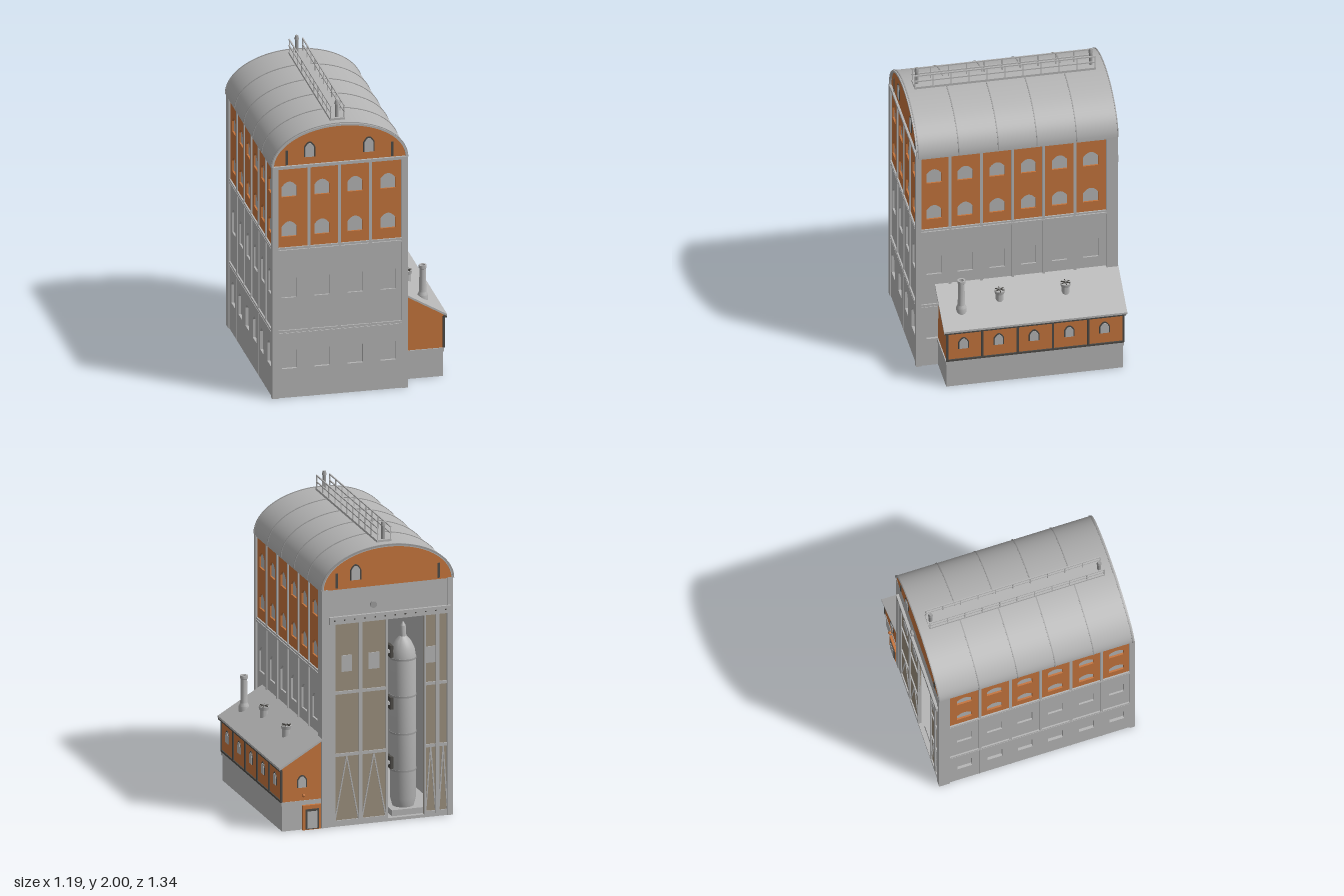
import * as THREE from 'three';
import { toCreasedNormals } from 'three/addons/utils/BufferGeometryUtils.js';

const mat = (name, color) => Object.assign(new THREE.MeshStandardMaterial({ color }), { name });

export function createModel() {
  const grey = mat('concrete grey', 0xb4b4b4);
  const orange = mat('brick orange', 0xc4743c);
  const dark = mat('dark trim', 0x4c4a46);
  const tan = mat('door tan', 0x9a8e7c);
  const steel = mat('steel grey', 0x9c9c9c);

  const model = new THREE.Group();
  const CX = -0.1475;
  const add = (parent, name, geo, m, x = 0, y = 0, z = 0) => {
    const mesh = new THREE.Mesh(geo, m);
    mesh.name = name;
    mesh.position.set(x, y, z);
    parent.add(mesh);
    return mesh;
  };
  // box given by its two corners
  const box = (p, name, m, x0, x1, y0, y1, z0, z1) =>
    add(p, name, new THREE.BoxGeometry(x1 - x0, y1 - y0, z1 - z0), m, (x0 + x1) / 2, (y0 + y1) / 2, (z0 + z1) / 2);
  const cyl = (p, name, m, r0, r1, h, x, y, z) =>
    add(p, name, toCreasedNormals(new THREE.CylinderGeometry(r0, r1, h, 20), 0.6), m, x, y + h / 2, z);
  // thin bar between two points
  const bar = (p, name, m, a, b, t) => {
    const va = new THREE.Vector3(...a), vb = new THREE.Vector3(...b), d = vb.clone().sub(va);
    const mesh = add(p, name, new THREE.BoxGeometry(t, d.length(), t), m);
    mesh.position.copy(va).add(vb).multiplyScalar(0.5);
    mesh.quaternion.setFromUnitVectors(new THREE.Vector3(0, 1, 0), d.normalize());
  };
  const extrude = (shape, depth) =>
    toCreasedNormals(new THREE.ExtrudeGeometry(shape, { depth, bevelEnabled: false, curveSegments: 32 }), 0.4);

  // arched window outline: sill at y, width w, height h, arch rise r
  const arch = (path, x, y, w, h, r) => {
    path.moveTo(x - w / 2, y);
    path.lineTo(x + w / 2, y);
    path.lineTo(x + w / 2, y + h - r);
    path.quadraticCurveTo(x + w / 4, y + h, x, y + h);
    path.quadraticCurveTo(x - w / 4, y + h, x - w / 2, y + h - r);
    return path;
  };
  const rect = (x0, x1, y0, y1) => new THREE.Shape([[x0, y0], [x1, y0], [x1, y1], [x0, y1]].map(p => new THREE.Vector2(...p)));
  // framed window plate facing local +z
  const framedWindow = (p, x, y, z, w, h) => {
    add(p, 'windowFrame', extrude(arch(new THREE.Shape(), x, y, w, h, w / 2), 0.004), dark, 0, 0, z);
    add(p, 'windowPane', extrude(arch(new THREE.Shape(), x, y, w - 0.016, h - 0.01, w / 2 - 0.008), 0.007), grey, 0, 0, z);
  };

  // hall shell
  const hall = new THREE.Group();
  hall.name = 'hall';
  model.add(hall);
  box(hall, 'frontWall', grey, -0.57, 0.275, 0, 1.6, 0.615, 0.645);
  box(hall, 'rightWall', grey, -0.57, -0.54, 0, 1.6, -0.64, 0.645);
  box(hall, 'leftWall', grey, 0.245, 0.275, 0, 1.6, -0.64, 0.645);
  box(hall, 'floor', grey, -0.57, 0.275, 0, 0.02, -0.65, 0.645);
  box(hall, 'ceiling', grey, -0.57, 0.275, 1.56, 1.6, -0.64, 0.645);

  // facades with recessed arched windows, in three storeys
  const facade = (name, x, z, turn, u0, u1, strips, windows) => {
    const g = new THREE.Group();
    g.name = name;
    g.position.set(x, 0, z);
    g.rotation.y = turn;
    hall.add(g);
    const storeys = [['baseStorey', grey, 0, 0.45, [0.2], 0.16], ['middleStorey', grey, 0.45, 1.03, [0.69], 0.17],
      ['upperStorey', orange, 1.03, 1.6, [1.115, 1.39], 0.105]];
    for (const [n, m, y0, y1, sills, h] of storeys) {
      const s = rect(u0, u1, y0, y1);
      for (const y of sills) for (const u of windows) s.holes.push(arch(new THREE.Path(), u, y, 0.1, h, 0.035));
      add(g, n, extrude(s, n === 'baseStorey' ? 0.018 : 0.012), m);
    }
    for (const u of strips) {
      box(g, 'pilaster', grey, u - 0.009, u + 0.009, 0.46, 1.59, 0, 0.02);
      box(g, 'baseSeam', grey, u - 0.003, u + 0.003, 0, 0.44, 0, 0.0195);
    }
    for (const [y0, y1] of [[0.435, 0.447], [0.453, 0.467], [1.013, 1.024], [1.03, 1.042], [1.585, 1.605]])
      box(g, 'stringCourse', grey, u0, u1, y0, y1, 0, 0.022);
  };
  const sideU = [0.447, 0.24, 0.034, -0.17, -0.375], sideW = [0.55, 0.345, 0.135, -0.07, -0.275, -0.48];
  const flip = a => a.map(v => -v);
  facade('frontFacade', 0, 0.645, 0, -0.57, 0.275, [-0.352, -0.15, 0.055], [-0.48, -0.264, -0.045, 0.172]);
  facade('leftFacade', 0.275, 0, Math.PI / 2, -0.645, 0.6, flip(sideU), flip(sideW));
  facade('rightFacade', -0.57, 0, -Math.PI / 2, -0.6, 0.645, sideU, sideW);

  // corner posts
  for (const [x0, x1] of [[-0.595, -0.555], [0.26, 0.3]]) {
    box(hall, 'frontCorner', grey, x0, x1, 0, 1.605, 0.635, 0.67);
    box(hall, 'backCorner', grey, x0, x1, 0, 1.605, -0.655, -0.58);
  }
  box(hall, 'backJamb', grey, 0.22, 0.27, 0, 1.6, -0.65, -0.62);

  // barrel roof with ribs
  const A = 0.45, B = 0.27, Y0 = 1.6;
  const vault = (a, b, t) => {
    const s = new THREE.Shape();
    s.absellipse(CX, Y0, a, b, 0, Math.PI, false);
    s.lineTo(CX - a + t, Y0);
    s.absellipse(CX, Y0, a - t, b - t, Math.PI, 0, true);
    return s;
  };
  add(hall, 'barrelRoof', extrude(vault(A, B, 0.014), 1.325), grey, 0, 0, -0.657);
  for (const z of [-0.655, -0.384, -0.124, 0.13, 0.39, 0.655])
    add(hall, 'roofRib', extrude(vault(A + 0.004, B + 0.004, 0.012), 0.007), steel, 0, 0, z - 0.0035);

  // gables
  const gableShape = new THREE.Shape();
  gableShape.absellipse(CX, Y0, A - 0.01, B - 0.01, 0, Math.PI, false);
  for (const [name, turn, wins] of [['frontGable', 0, [-0.345, 0.047]], ['backGable', Math.PI, [-0.07]]]) {
    const g = new THREE.Group();
    g.name = name;
    hall.add(g);
    // the back gable is turned about the hall's axis
    if (turn) { g.rotation.y = turn; g.position.x = 0; }
    const shift = turn ? -2 * CX : 0;
    add(g, 'gableWall', extrude(gableShape, 0.02), orange, shift, 0, 0.633);
    for (const x of wins) framedWindow(g, x, 1.655, 0.653, 0.075, 0.105);
    for (const d of [-0.348, 0.348]) box(g, 'slit', dark, CX + shift + d - 0.008, CX + shift + d + 0.008, 1.61, 1.71, 0.65, 0.658);
  }

  // roof walkway with railings and vent pipes
  const walk = new THREE.Group();
  walk.name = 'roofWalkway';
  model.add(walk);
  box(walk, 'deck', grey, -0.197, -0.098, 1.866, 1.884, -0.59, 0.6);
  for (const x of [-0.192, -0.103]) {
    for (const y of [1.925, 1.967]) box(walk, 'rail', grey, x - 0.004, x + 0.004, y - 0.004, y + 0.004, -0.59, 0.6);
    for (let i = 0; i <= 10; i++) {
      const z = -0.585 + i * 0.118;
      box(walk, 'railPost', grey, x - 0.003, x + 0.003, 1.88, 1.97, z - 0.003, z + 0.003);
    }
  }
  for (const z of [-0.567, 0.575]) {
    cyl(walk, 'ventPipe', steel, 0.012, 0.012, 0.11, CX, 1.875, z);
    cyl(walk, 'ventCap', steel, 0.01, 0.016, 0.025, CX, 1.975, z);
  }

  // back gate: lintel, track and door leaves
  const gate = new THREE.Group();
  gate.name = 'backGate';
  model.add(gate);
  box(gate, 'lintel', grey, -0.56, 0.265, 1.37, 1.605, -0.652, -0.62);
  box(gate, 'doorTrack', grey, -0.575, 0.25, 1.37, 1.42, -0.67, -0.64);
  for (let i = 0; i < 12; i++) box(gate, 'trackBolt', dark, -0.545 + i * 0.069, -0.535 + i * 0.069, 1.392, 1.4, -0.673, -0.668);
  const lamp = cyl(gate, 'gateLamp', steel, 0.022, 0.022, 0.016, -0.05, 1.47, -0.66);
  lamp.rotation.x = Math.PI / 2;
  for (const [x0, x1] of [[0.035, 0.22], [-0.15, 0.035], [-0.49, -0.4], [-0.57, -0.49]]) {
    const g = new THREE.Group();
    g.name = 'doorLeaf';
    gate.add(g);
    box(g, 'panel', tan, x0, x1, 0.02, 1.37, -0.642, -0.632);
    for (const x of [x0 + 0.006, x1 - 0.006]) box(g, 'stile', grey, x - 0.006, x + 0.006, 0.02, 1.37, -0.652, -0.628);
    for (const y of [0.03, 0.48, 0.9]) box(g, 'crossRail', grey, x0, x1, y - 0.01, y + 0.01, -0.65, -0.63);
    bar(g, 'brace', grey, [x0 + 0.01, 0.03, -0.644], [(x0 + x1) / 2, 0.47, -0.644], 0.008);
    bar(g, 'brace', grey, [x1 - 0.01, 0.03, -0.644], [(x0 + x1) / 2, 0.47, -0.644], 0.008);
    if (x0 !== -0.57) box(g, 'doorWindow', grey, (x0 + x1) / 2 - 0.036, (x0 + x1) / 2 + 0.036, 1.04, 1.15, -0.648, -0.64);
  }

  // rocket on its stand, with service arms
  const rocket = new THREE.Group();
  rocket.name = 'rocket';
  rocket.position.set(-0.3, 0, -0.52);
  model.add(rocket);
  box(rocket, 'stand', grey, -0.11, 0.11, 0.02, 0.06, -0.1, 0.1);
  const profile = [[0, 0.06], [0.07, 0.06], [0.085, 0.12], [0.085, 1.06], [0.075, 1.12], [0.05, 1.17], [0.022, 1.2], [0.018, 1.27], [0, 1.3]];
  add(rocket, 'rocketBody', toCreasedNormals(new THREE.LatheGeometry(profile.map(p => new THREE.Vector2(...p)), 28), 0.5), grey);
  for (const y of [0.3, 0.55, 0.8, 1.05]) cyl(rocket, 'rocketBand', steel, 0.087, 0.087, 0.012, 0, y, 0);
  for (const y of [0.35, 0.75, 1.1]) {
    box(rocket, 'serviceArm', grey, 0.07, 0.5, y, y + 0.02, -0.03, 0.03);
    box(rocket, 'armClamp', dark, 0.08, 0.1, y - 0.03, y + 0.05, -0.04, 0.04);
  }

  // annex
  const annex = new THREE.Group();
  annex.name = 'annex';
  model.add(annex);
  box(annex, 'annexBase', grey, 0.285, 0.565, 0, 0.18, -0.635, 0.525);
  box(annex, 'annexLedge', grey, 0.285, 0.572, 0.172, 0.197, -0.64, 0.53);
  const section = pts => new THREE.Shape(pts.map(p => new THREE.Vector2(...p)));
  add(annex, 'annexWalls', extrude(section([[0.285, 0.195], [0.57, 0.195], [0.57, 0.43], [0.285, 0.605]]), 1.16), orange, 0, 0, -0.637);
  add(annex, 'annexRoof', extrude(section([[0.285, 0.599], [0.59, 0.42], [0.59, 0.434], [0.285, 0.613]]), 1.203), grey, 0, 0, -0.659);
  box(annex, 'gutter', dark, 0.57, 0.588, 0.409, 0.423, -0.65, 0.54);
  box(annex, 'sillBeam', dark, 0.565, 0.578, 0.197, 0.21, -0.64, 0.528);
  for (let i = 0; i < 6; i++) {
    const z = 0.521 - i * 0.2315;
    box(annex, 'annexPost', dark, 0.565, 0.578, 0.2, 0.415, z - 0.007, z + 0.007);
  }
  const annexSide = new THREE.Group();
  annexSide.name = 'annexSideWindows';
  annexSide.rotation.y = Math.PI / 2;
  annex.add(annexSide);
  for (let i = 0; i < 5; i++) framedWindow(annexSide, -0.413 + i * 0.2315, 0.285, 0.569, 0.07, 0.085);
  const annexBack = new THREE.Group();
  annexBack.name = 'annexBackDetails';
  annexBack.rotation.y = Math.PI;
  annex.add(annexBack);
  framedWindow(annexBack, -0.43, 0.285, 0.636, 0.07, 0.085);
  box(annexBack, 'doorFrame', orange, -0.43, -0.305, 0, 0.165, 0.63, 0.655);
  box(annexBack, 'doorInset', dark, -0.412, -0.322, 0.005, 0.14, 0.65, 0.659);
  box(annexBack, 'doorPanel', grey, -0.4, -0.334, 0.01, 0.125, 0.652, 0.661);
  add(annexBack, 'doorLamp', new THREE.SphereGeometry(0.011, 12, 8), orange, -0.425, 0.235, 0.655);
  box(annexBack, 'lampBracket', dark, -0.429, -0.421, 0.23, 0.24, 0.635, 0.65);

  // chimney and roof vents
  const stack = [[0.034, 0.48], [0.034, 0.53], [0.024, 0.55], [0.021, 0.71], [0.026, 0.715], [0.026, 0.735], [0.016, 0.735], [0.016, 0.7], [0, 0.7]];
  add(annex, 'chimney', toCreasedNormals(new THREE.LatheGeometry(stack.map(p => new THREE.Vector2(...p)), 20), 0.5), grey, 0.46, 0, 0.405);
  for (const z of [-0.288, 0.145]) {
    cyl(annex, 'ventBody', grey, 0.026, 0.026, 0.08, 0.415, 0.51, z);
    cyl(annex, 'ventRim', grey, 0.036, 0.03, 0.025, 0.415, 0.575, z);
    for (let i = 0; i < 3; i++) {
      const blade = box(annex, 'fanBlade', dark, 0.383, 0.447, 0.6, 0.606, z - 0.002, z + 0.002);
      blade.rotation.y = i * Math.PI / 3;
    }
    cyl(annex, 'fanHub', steel, 0.006, 0.006, 0.012, 0.415, 0.6, z);
  }
  return model;
}
